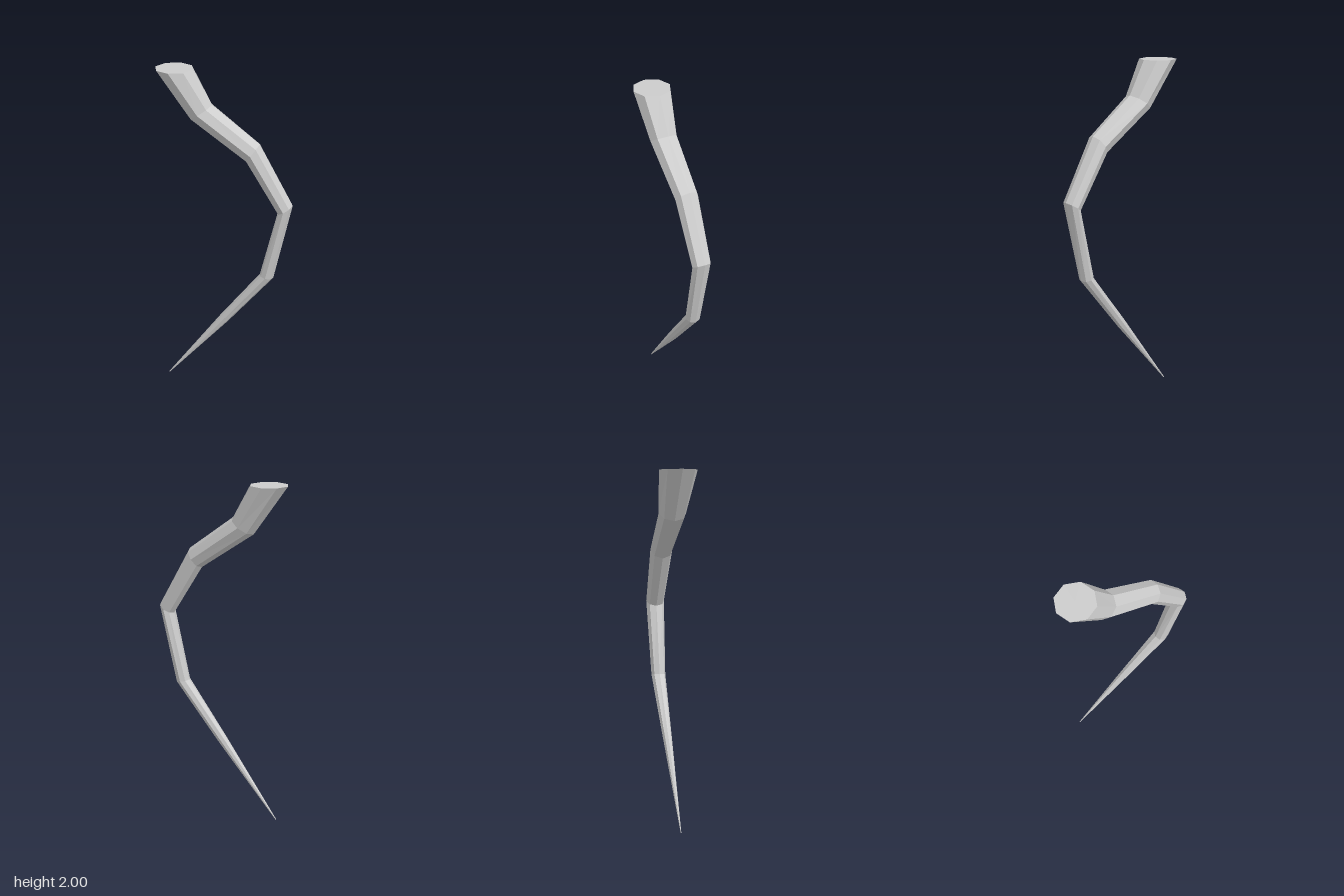
import * as THREE from 'three';

// Rings from tip to base: left x, left y, right x, right y, half depth in z
const rings = [
  [-0.371, 0.004, -0.367, 0.0, 0.002],
  [-0.03, 0.485, 0.015, 0.445, 0.027],
  [0.21, 0.805, 0.29, 0.79, 0.043],
  [0.305, 1.21, 0.39, 1.265, 0.055],
  [0.12, 1.505, 0.195, 1.61, 0.066],
  [-0.2, 1.725, -0.075, 1.81, 0.078],
  [-0.395, 2, -0.18, 2, 0.107],
];

export function createModel() {
  const group = new THREE.Group();
  group.name = 'curvedHorn';

  // Unit eight-sided column whose rows are moved onto the tilted rings
  const rows = rings.length - 1;
  const geometry = new THREE.CylinderGeometry(1, 1, rows, 8, rows);
  const pos = geometry.attributes.position;
  for (let i = 0; i < pos.count; i++) {
    const [lx, ly, rx, ry, depth] = rings[Math.round(pos.getY(i) + rows / 2)];
    const u = pos.getX(i);
    pos.setXYZ(
      i,
      (lx + rx) / 2 + (u * (rx - lx)) / 2,
      (ly + ry) / 2 + (u * (ry - ly)) / 2,
      pos.getZ(i) * depth
    );
  }
  geometry.computeVertexNormals();

  const horn = new THREE.Mesh(
    geometry,
    new THREE.MeshStandardMaterial({ color: 0xcccccc, flatShading: true })
  );
  horn.name = 'horn';
  group.add(horn);
  return group;
}
